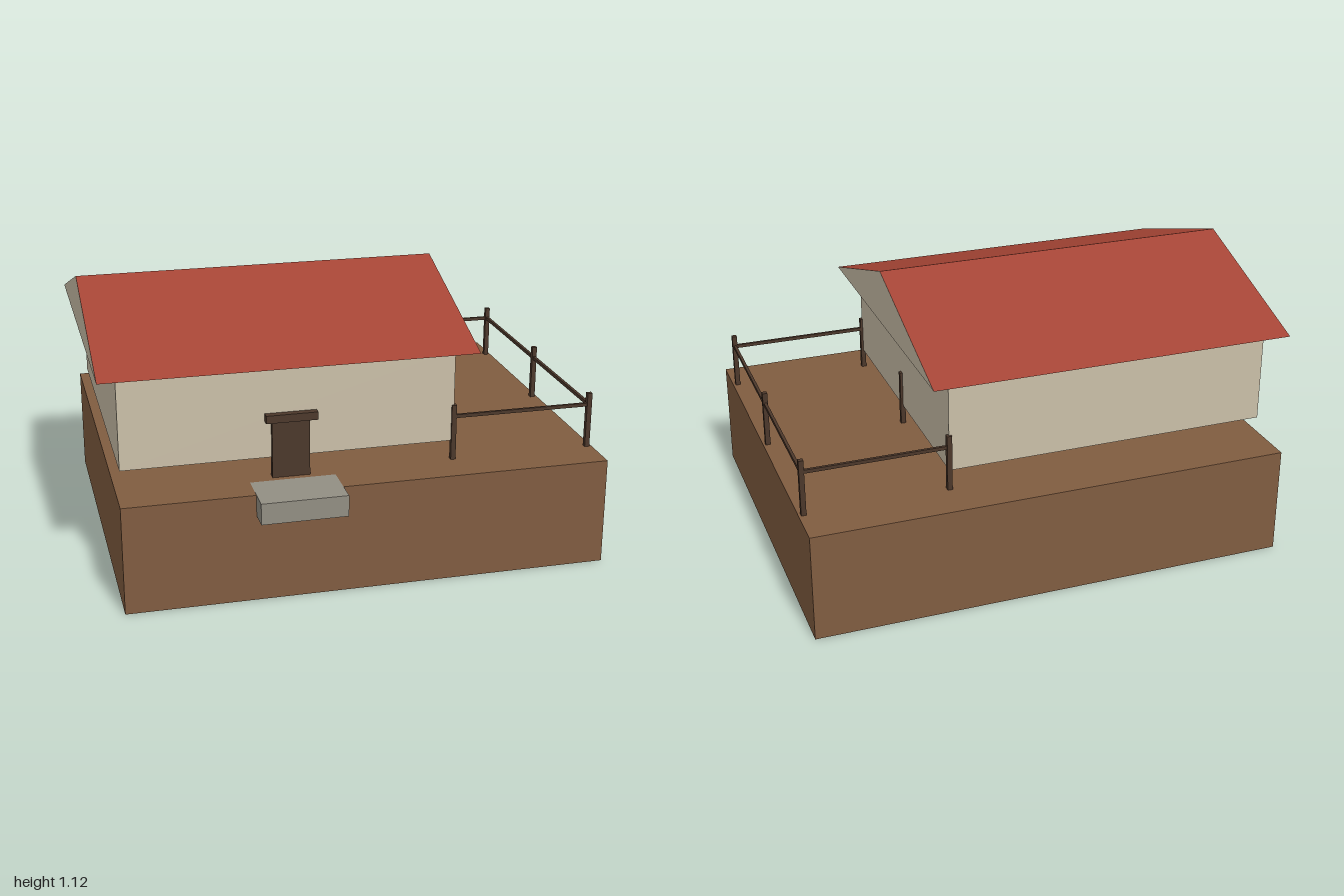
import * as THREE from 'three';

const mat = (name, color) => {
  const m = new THREE.MeshStandardMaterial({ color });
  m.name = name;
  return m;
};

export function createModel() {
  const house = new THREE.Group();
  house.name = 'house';
  const earth = mat('earth brown', 0x805c40);
  const plaster = mat('beige plaster', 0xcabfa8);
  const tile = mat('red tile', 0xa54435);
  const stone = mat('grey stone', 0x928e83);
  const wood = mat('dark wood', 0x4b372a);

  // Box given by its extents on each axis
  const box = (name, m, [x0, x1], [y0, y1], [z0, z1], parent = house) => {
    const mesh = new THREE.Mesh(new THREE.BoxGeometry(x1 - x0, y1 - y0, z1 - z0), m);
    mesh.position.set((x0 + x1) / 2, (y0 + y1) / 2, (z0 + z1) / 2);
    mesh.name = name;
    parent.add(mesh);
    return mesh;
  };

  // Ground block, raised walls and entrance
  box('groundBlock', earth, [-0.945, 1], [0, 0.44], [-0.825, 0.738]);
  box('walls', plaster, [-0.925, 0.405], [0.52, 0.9], [-0.65, 0.57]);
  box('doorStep', stone, [-0.43, -0.09], [0.355, 0.441], [0.615, 0.825]);
  box('door', wood, [-0.335, -0.185], [0.44, 0.68], [0.56, 0.588]);
  box('doorLintel', wood, [-0.36, -0.155], [0.67, 0.702], [0.56, 0.6]);

  // Gabled roof: plaster ends, tiled slopes and underside
  const gable = new THREE.Shape([
    new THREE.Vector2(-0.64, 0.9),
    new THREE.Vector2(0.725, 0.9),
    new THREE.Vector2(0.042, 1.125),
  ]);
  const roofGeo = new THREE.ExtrudeGeometry(gable, { depth: 1.485, bevelEnabled: false });
  roofGeo.rotateY(Math.PI / 2); // extrusion runs along x, shape x becomes -z
  roofGeo.translate(-1, 0, 0);
  const roof = new THREE.Mesh(roofGeo, [plaster, tile]);
  roof.name = 'roof';
  house.add(roof);

  // Yard fence: six posts and three rails
  const fence = new THREE.Group();
  fence.name = 'fence';
  house.add(fence);
  const nearX = 0.405, farX = 0.98, frontZ = 0.567, backZ = -0.65;
  const span = (c, r) => [c - r, c + r];
  const railY = span(0.621, 0.007);
  for (const x of [nearX, farX]) {
    for (const z of [frontZ, -0.041, backZ]) {
      box('fencePost', wood, span(x, 0.01), [0.44, 0.67], span(z, 0.01), fence);
    }
  }
  for (const z of [frontZ, backZ]) {
    box('sideRail', wood, [nearX, farX], railY, span(z, 0.006), fence);
  }
  box('longRail', wood, span(farX, 0.006), railY, [backZ, frontZ], fence);

  return house;
}
